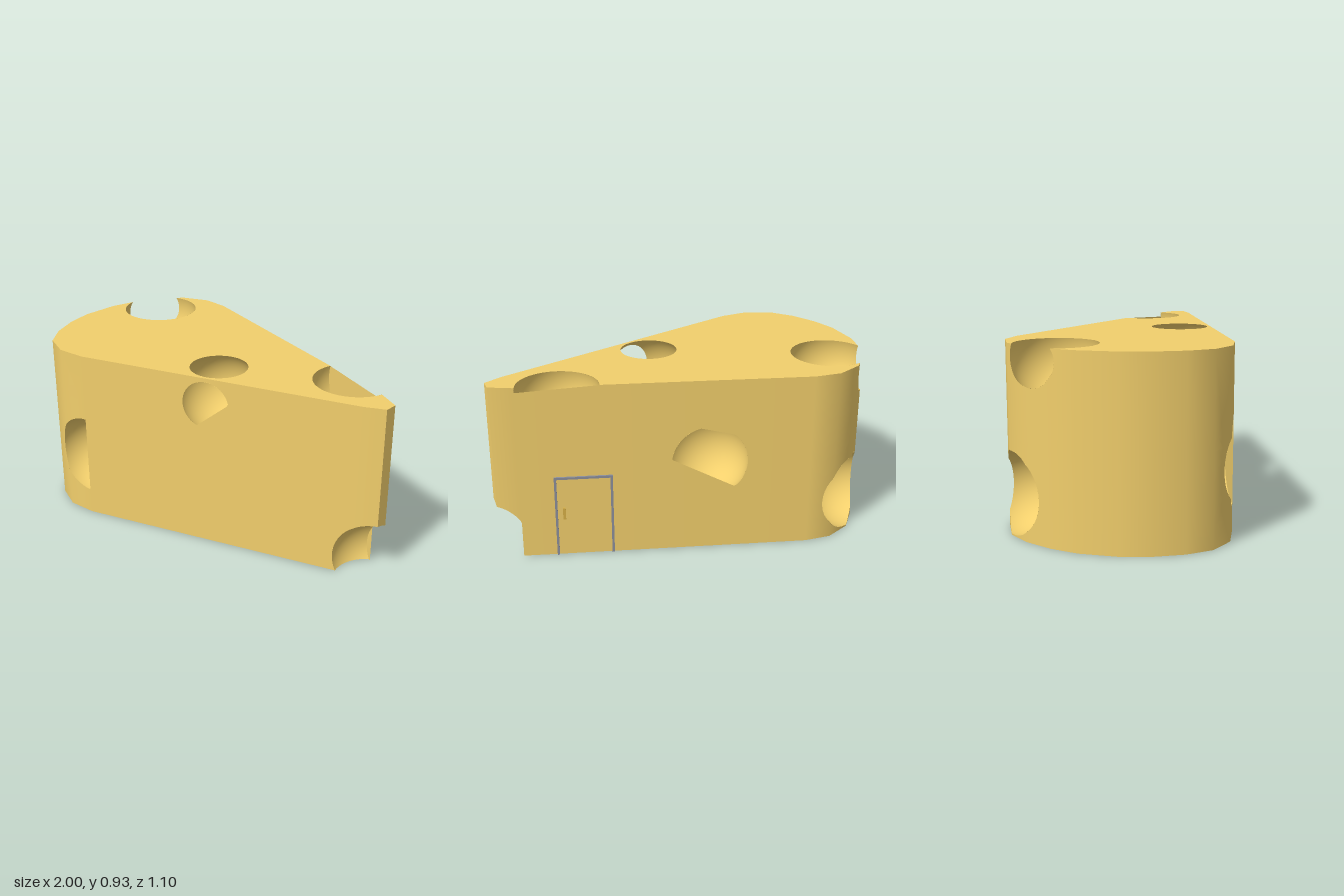
import * as THREE from 'three';

const H = 0.926;
// Wedge outline as [x, z], front left, round the tip, back along the rear to the rind
const OUTLINE = [
  [-0.52, 0.53], [0.9, 0.03], [1, -0.02], [1, -0.085], [0.89, -0.14], [-0.53, -0.545], [-0.67, -0.553],
  [-0.81, -0.49], [-0.9, -0.38], [-0.965, -0.24], [-1, -0.1], [-1, 0.1], [-0.965, 0.24], [-0.9, 0.38],
  [-0.81, 0.49], [-0.67, 0.545],
];

// Round holes; "limit" is positive where the side wall is opened, elsewhere a skin remains
const HOLES = [
  { c: [-0.77, 0.865, -0.265], r: 0.212 },
  { c: [0.09, 0.78, 0.14], r: 0.208, limit: (x, y) => y - 0.655 - (x - 0.09) * 0.86 },
  { c: [-0.515, 0.352, 0.53], r: 0.213, limit: (x) => -0.52 - x },
  { c: [1.0, 0.09, 0.005], r: 0.21, limit: (x, y, z) => Math.max(x - 0.89, z + 0.1) },
  { c: [0.685, 0.87, -0.193], r: 0.212, limit: (x, y) => y - H + (x - 0.47) * 0.062 },
  { c: [-0.055, 0.485, -0.325], r: 0.21,
    limit: (x, y) => Math.min(y - 0.32 - (x + 0.2) * 0.533, 0.62 + (x + 0.2) * 0.25 - y) },
  { c: [-0.8, 0.212, -0.46], r: 0.207 },
];

// Vertices are [x, y, z, nx, ny, nz]
const mix = (a, b, t) => a.map((v, i) => v + (b[i] - v) * t);
const dist = (a, b) => Math.hypot(a[0] - b[0], a[1] - b[1], a[2] - b[2]);

// Keep the part of each triangle where field >= 0
function clip(tris, field) {
  const out = [];
  for (const tri of tris) {
    const f = tri.map(field);
    const poly = [];
    for (let i = 0; i < 3; i++) {
      const j = (i + 1) % 3;
      if (f[i] >= 0) poly.push(tri[i]);
      if ((f[i] >= 0) !== (f[j] >= 0)) poly.push(mix(tri[i], tri[j], f[i] / (f[i] - f[j])));
    }
    for (let i = 2; i < poly.length; i++) out.push([poly[0], poly[i - 1], poly[i]]);
  }
  return out;
}

// Split triangles finely, but only close to the rim of a hole
function refine(tri, out) {
  const len = tri.map((v, i) => dist(v, tri[(i + 1) % 3]));
  const longest = Math.max(...len);
  const mid = [0, 1, 2].map((k) => (tri[0][k] + tri[1][k] + tri[2][k]) / 3);
  if (longest < 0.025 || !HOLES.some((h) => Math.abs(dist(mid, h.c) - h.r) < longest)) {
    out.push(tri);
    return;
  }
  const i = len.indexOf(longest);
  const [a, b, c] = [tri[i], tri[(i + 1) % 3], tri[(i + 2) % 3]];
  const m = mix(a, b, 0.5);
  refine([a, m, c], out);
  refine([m, b, c], out);
}

function perforate(tris, isWall) {
  let out = [];
  tris.forEach((t) => refine(t, out));
  for (const h of HOLES) {
    out = clip(out, (v) => {
      const d = dist(v, h.c) - h.r;
      return isWall && h.limit ? Math.max(d, -h.limit(v[0], v[1], v[2])) : d;
    });
  }
  return out;
}

function toMesh(name, tris, material) {
  const verts = tris.flat();
  const geo = new THREE.BufferGeometry();
  geo.setAttribute('position', new THREE.Float32BufferAttribute(verts.flatMap((v) => v.slice(0, 3)), 3));
  geo.setAttribute('normal', new THREE.Float32BufferAttribute(verts.flatMap((v) => v.slice(3)), 3));
  geo.normalizeNormals();
  const mesh = new THREE.Mesh(geo, material);
  mesh.name = name;
  return mesh;
}

// Side panels with outward normal and length
const PANELS = OUTLINE.map((a, i) => {
  const b = OUTLINE[(i + 1) % OUTLINE.length];
  const l = Math.hypot(b[0] - a[0], b[1] - a[1]);
  return { a, b, l, n: [-(b[1] - a[1]) / l, (b[0] - a[0]) / l] };
});

// Smooth normal between a panel and its neighbour, unless the corner is sharp
function cornerNormal(p, q) {
  if (p.n[0] * q.n[0] + p.n[1] * q.n[1] < 0.8) return [p.n[0], 0, p.n[1]];
  const n = [0, 1].map((k) => p.n[k] * p.l + q.n[k] * q.l);
  const l = Math.hypot(...n);
  return [n[0] / l, 0, n[1] / l];
}

function createDoor() {
  const door = new THREE.Group();
  door.name = 'door';
  const grey = new THREE.MeshStandardMaterial({ color: 0x8c8f9c });
  const brass = new THREE.MeshStandardMaterial({ color: 0xd8b048 });
  const w = 0.295, h = 0.442, t = 0.012;
  const bar = (name, sx, sy, sz, x, y, z, mat) => {
    const m = new THREE.Mesh(new THREE.BoxGeometry(sx, sy, sz), mat);
    m.position.set(x, y, z);
    m.name = name;
    door.add(m);
  };
  for (const s of [-1, 1]) bar('doorPost', t, h, 0.016, s * (w - t) / 2, h / 2, 0.002, grey);
  bar('doorLintel', w, t, 0.016, 0, h - t / 2, 0.002, grey);
  bar('doorHandle', 0.014, 0.064, 0.012, -0.102, 0.237, 0.005, brass);
  // Stand it on the long rear wall
  const rear = PANELS[4];
  const k = (0.583 - rear.a[0]) / (rear.b[0] - rear.a[0]);
  door.position.set(0.583, 0, rear.a[1] + (rear.b[1] - rear.a[1]) * k);
  door.rotation.y = Math.atan2(rear.n[0], rear.n[1]);
  return door;
}

export function createModel() {
  const group = new THREE.Group();
  group.name = 'cheeseHouse';
  const cheese = new THREE.MeshStandardMaterial({ color: 0xf2cf6c, side: THREE.DoubleSide });

  // Side walls
  const walls = PANELS.flatMap((p, i) => {
    const N = PANELS.length;
    const na = cornerNormal(p, PANELS[(i + N - 1) % N]);
    const nb = cornerNormal(p, PANELS[(i + 1) % N]);
    const [a0, a1] = [0, H].map((y) => [p.a[0], y, p.a[1], ...na]);
    const [b0, b1] = [0, H].map((y) => [p.b[0], y, p.b[1], ...nb]);
    return [[a0, b0, b1], [a0, b1, a1]];
  });
  group.add(toMesh('sideWalls', perforate(walls, true), cheese));

  // Top and bottom
  const cap = (y, s) => PANELS.map(({ a, b }) => {
    const [p, q] = s > 0 ? [a, b] : [b, a];
    return [[-0.2, 0], p, q].map((v) => [v[0], y, v[1], 0, s, 0]);
  });
  group.add(toMesh('top', perforate(cap(H, 1), false), cheese));
  group.add(toMesh('bottom', perforate(cap(0, -1), false), cheese));

  // Hollows: inward-facing spheres trimmed to the wedge
  for (const { c, r } of HOLES) {
    const pos = new THREE.IcosahedronGeometry(1, 11).getAttribute('position');
    const vert = (i) => {
      const n = [pos.getX(i), pos.getY(i), pos.getZ(i)];
      return [...n.map((v, k) => c[k] + v * r), ...n.map((v) => -v)];
    };
    let tris = [];
    for (let i = 0; i < pos.count; i += 3) tris.push([vert(i), vert(i + 2), vert(i + 1)]);
    tris = clip(clip(tris, (v) => v[1]), (v) => H - v[1]);
    for (const { a, n } of PANELS) tris = clip(tris, (v) => -(v[0] - a[0]) * n[0] - (v[2] - a[1]) * n[1]);
    group.add(toMesh('hollow', tris, cheese));
  }

  group.add(createDoor());
  return group;
}
